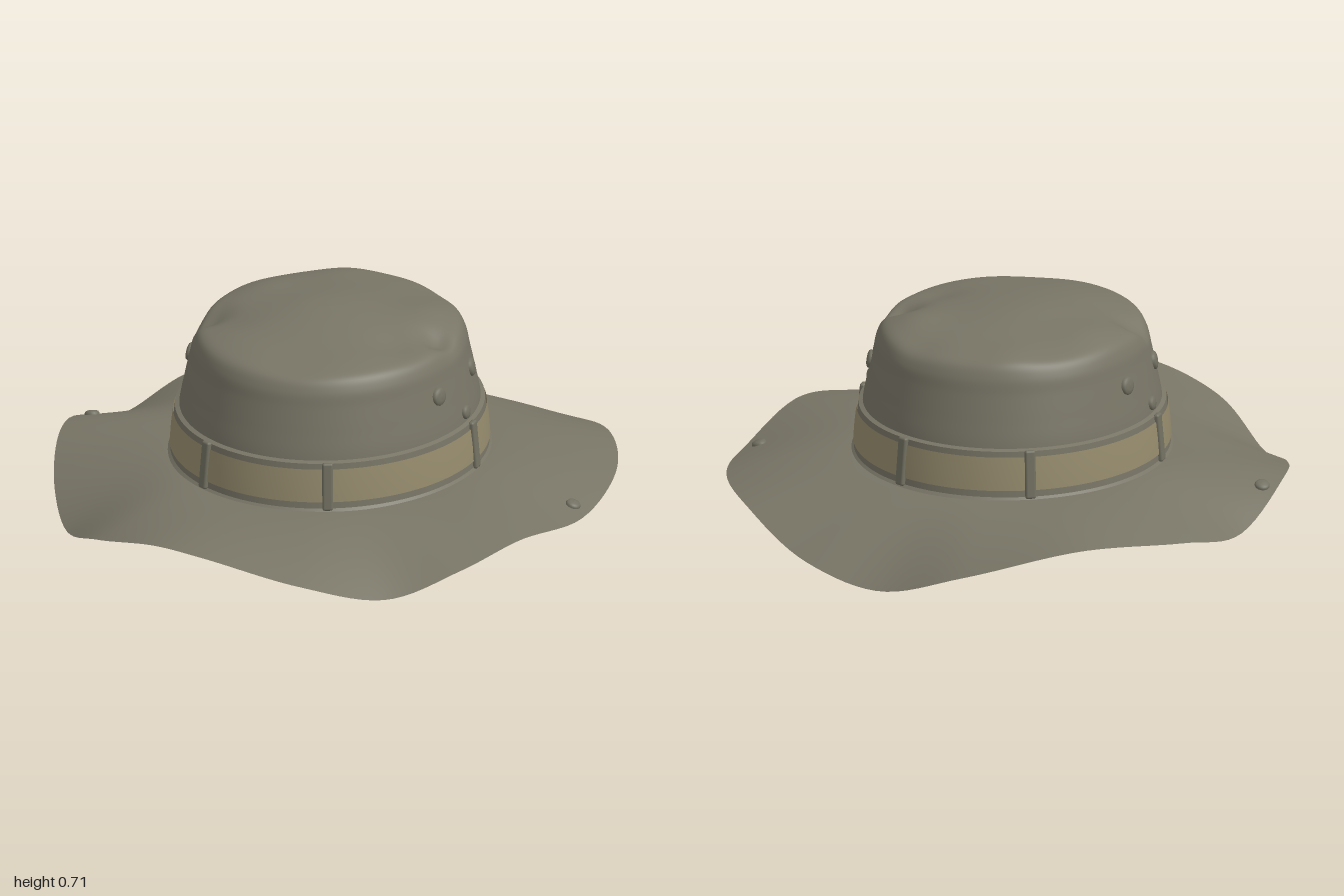
import * as THREE from 'three';
import { RoundedBoxGeometry } from 'three/addons/geometries/RoundedBoxGeometry.js';

const olive = new THREE.MeshStandardMaterial({ color: 0x787566, side: THREE.DoubleSide });
olive.name = 'olive cloth';
const tan = new THREE.MeshStandardMaterial({ color: 0x958b6d, side: THREE.DoubleSide });
tan.name = 'tan ribbon';
const trim = new THREE.MeshStandardMaterial({ color: 0x727061 });
trim.name = 'olive trim';

const SEGS = 144, STRETCH = 1.085, CZ = -0.012; // the head opening is slightly oval

// Closed ring sheet: rows run upward or inward, fn(row 0..1, turn 0..1, out)
function sheet(rows, fn) {
  const pos = [], idx = [];
  for (let i = 0; i <= rows; i++)
    for (let k = 0; k < SEGS; k++) pos.push(...fn(i / rows, k / SEGS).toArray());
  for (let i = 0; i < rows; i++)
    for (let k = 0; k < SEGS; k++) {
      const n = (k + 1) % SEGS, a = i * SEGS + k, b = a + SEGS, c = i * SEGS + n, d = c + SEGS;
      idx.push(a, b, c, b, d, c);
    }
  const g = new THREE.BufferGeometry();
  g.setAttribute('position', new THREE.Float32BufferAttribute(pos, 3));
  g.setIndex(idx);
  g.computeVertexNormals();
  return g;
}

// Point on the oval of half-width r at height y
const oval = (r, y, a) => new THREE.Vector3(r * Math.cos(a), y, r * STRETCH * Math.sin(a) + CZ);

// Brim edge: angle from +x towards +z, radius, height
const edge = new THREE.CatmullRomCurve3([
  [0, .922, .115], [23, .93, .165], [38, .95, .125], [54, .965, .065], [71, .995, .13], [90, .993, .195],
  [101, .985, .197], [117, .975, .135], [136, .925, .045], [157, .91, .12], [176, .922, .17],
  [197, .908, .07], [216, .94, .125], [240, 1, .172], [262, 1.005, .085], [279, .993, .003],
  [296, 1, .05], [317, .977, .137], [337, .955, .138],
].map(([d, r, y]) => {
  const a = THREE.MathUtils.degToRad(d);
  return new THREE.Vector3(r * Math.cos(a), y, r * Math.sin(a));
}), true);

function brimPoint(t, u) { // t: 0 outer edge, 1 head opening
  const e = edge.getPoint(u), a = Math.atan2((e.z - CZ) / STRETCH, e.x);
  const p = oval(.505, .215, a).lerp(e, 1 - t);
  p.y = .215 + (e.y - .215) * Math.pow(1 - t, 1.6);
  return p;
}

// Crown profile, from the opening to the middle of the top
const profile = new THREE.CatmullRomCurve3([
  [.505, .21], [.492, .38], [.475, .47], [.458, .55], [.446, .605], [.424, .643], [.37, .664],
  [.25, .684], [.1, .702], [0, .706],
].map(([r, y]) => new THREE.Vector3(r, y, 0)));

// Soft dents and bumps of the worn top: x, z, size, height
const dents = [
  [-.40, .09, .07, -.04], [-.30, .14, .09, -.012], [.38, -.03, .06, -.035], [.30, .10, .08, -.014],
  [.28, -.18, .09, .012], [-.08, -.05, .16, .008], [-.3, -.15, .1, .012], [.05, .38, .12, -.008],
  [-.12, -.42, .1, .01], [.22, -.4, .09, -.01],
];
function crownPoint(t, u) {
  const c = profile.getPoint(t), a = u * Math.PI * 2, p = oval(c.x, c.y, a);
  const w = THREE.MathUtils.smoothstep(c.y, .54, .65);
  for (const [x, z, s, h] of dents)
    p.y += w * h * Math.exp(-((p.x - x) ** 2 + (p.z - z) ** 2) / (s * s));
  return p;
}

// Wall radius of the crown at a given height
function wallRadius(y) {
  let lo = 0, hi = .5;
  for (let i = 0; i < 24; i++) {
    const m = (lo + hi) / 2;
    if (profile.getPoint(m).y < y) lo = m; else hi = m;
  }
  return profile.getPoint(lo).x;
}

export function createModel() {
  const hat = new THREE.Group();
  hat.name = 'brimmedHat';
  const add = (name, geo, mat) => {
    const m = new THREE.Mesh(geo, mat);
    m.name = name;
    hat.add(m);
    return m;
  };

  add('brim', sheet(20, brimPoint), olive);
  add('crown', sheet(56, crownPoint), olive);

  // Band: an olive strip with a tan ribbon on its middle
  const ring = pts => sheet(pts.length - 1, (t, u) => {
    const [r, y] = pts[Math.round(t * (pts.length - 1))];
    return oval(r, y, u * Math.PI * 2);
  });
  add('bandFlange', ring([[.532, .211], [.521, .222]]), olive);
  add('bandBase', ring([[.521, .222], [.517, .27], [.512, .32], [.506, .376]]), olive);
  add('bandTopEdge', ring([[.506, .376], [.490, .382]]), olive);
  add('ribbon', ring([[.523, .245], [.519, .30], [.512, .358]]), tan);

  // Outward direction on the oval wall, leaning back slightly
  const outward = (a, lean) =>
    new THREE.Vector3(Math.cos(a) * STRETCH, lean, Math.sin(a)).normalize();

  // Six belt loops over the band
  for (const deg of [-2, 64.5, 115.5, 182, 244.5, 295.5]) {
    const a = THREE.MathUtils.degToRad(deg);
    const loop = add('bandLoop', new RoundedBoxGeometry(.036, .165, .02, 2, .008), trim);
    loop.position.copy(oval(.518, .299, a));
    loop.lookAt(loop.position.clone().add(outward(a, .1)));
  }

  // Domed round button lying against a surface
  const button = (name, p, n, r) => {
    const pts = [[r, -.006], [r, .004], [r * .85, .010], [r * .5, .013], [0, .014]];
    const b = add(name, new THREE.LatheGeometry(pts.map(q => new THREE.Vector2(...q)), 24), trim);
    b.position.copy(p);
    b.quaternion.setFromUnitVectors(new THREE.Vector3(0, 1, 0), n);
  };

  // Two vents and one snap on each side of the crown
  for (const side of [1, -1])
    for (const [name, z, y, r] of [['vent', .11, .515, .031], ['vent', -.16, .515, .031], ['snap', -.025, .413, .024]]) {
      const R = wallRadius(y), s = Math.asin((z - CZ) / (R * STRETCH));
      const a = side > 0 ? s : Math.PI - s;
      button(name, oval(R, y, a), outward(a, .18), r);
    }

  // Snap studs near the brim edge, one on each side
  for (const [x, z] of [[.87, -.053], [-.873, -.018]]) {
    let best = [Infinity];
    for (let i = 1; i < 30; i++)
      for (let k = 0; k < 400; k++) {
        const p = brimPoint(i / 60, k / 400), d = Math.hypot(p.x - x, p.z - z);
        if (d < best[0]) best = [d, i / 60, k / 400, p];
      }
    const [, t, u, p] = best;
    const along = brimPoint(t, (u + .004) % 1).sub(p), inward = brimPoint(t + .02, u).sub(p);
    button('brimStud', p, inward.cross(along).normalize(), .025);
  }
  return hat;
}
